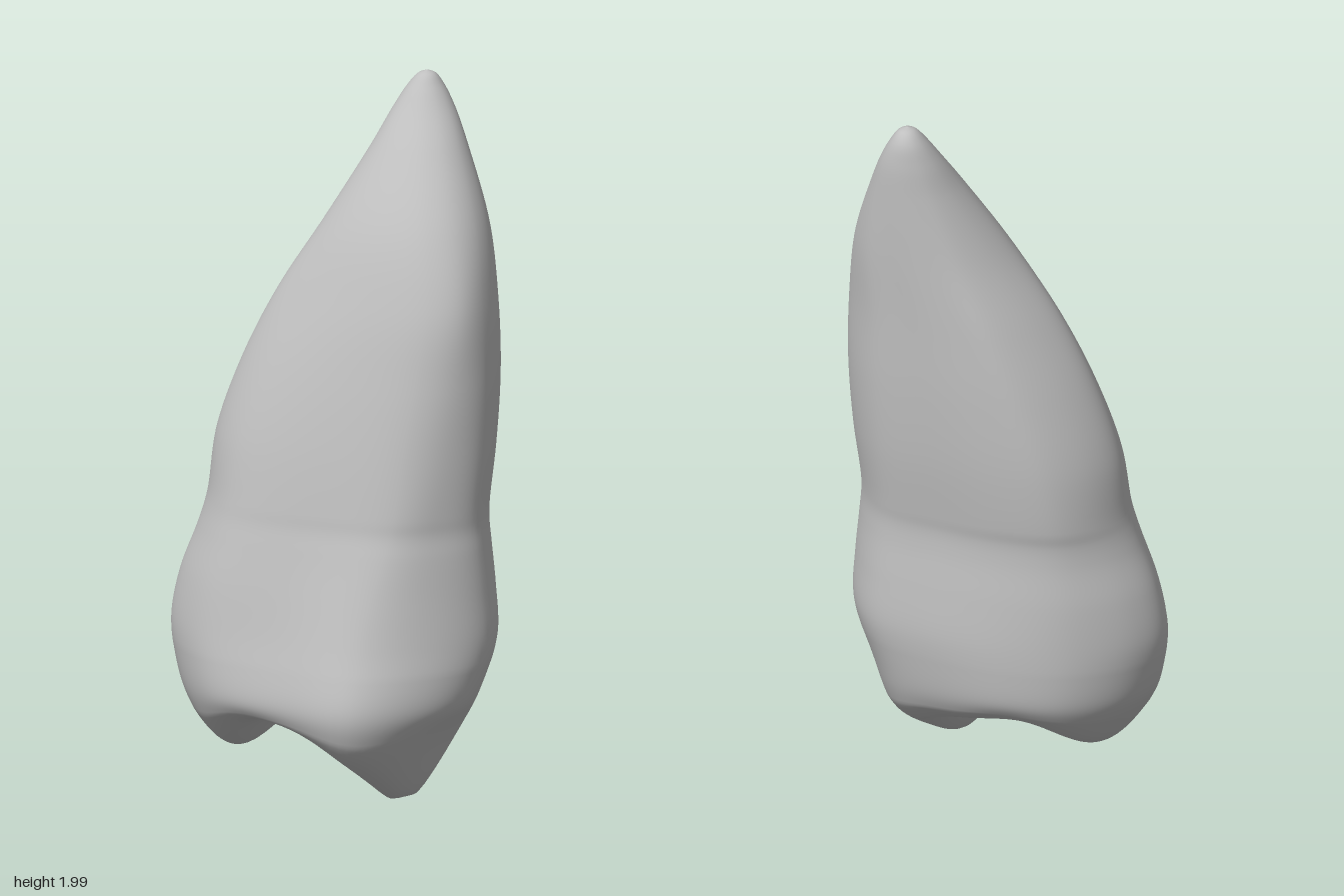
import * as THREE from 'three';

// Outlines as [x, z], running from -x over the back to +x and round the front
const crown = [[-.46, -.13], [-.40, -.26], [-.24, -.365], [-.05, -.388], [.17, -.34], [.36, -.25],
  [.455, -.06], [.445, .175], [.30, .32], [.09, .385], [-.14, .265], [-.365, .105]];
const neck = [[-.365, -.15], [-.32, -.27], [-.21, -.36], [-.05, -.37], [.15, -.325], [.33, -.25],
  [.43, -.06], [.41, .12], [.31, .21], [.18, .25], [-.045, .182], [-.295, .035]];
const root = [[-.17, -.15], [-.13, -.25], [-.02, -.345], [.09, -.355], [.21, -.335], [.35, -.27],
  [.45, -.1], [.42, .05], [.36, .12], [.26, .14], [.08, .085], [-.105, -.045]];
const round = crown.map((_, i) => {
  const a = i / 12 * Math.PI * 2;
  return [-Math.cos(a), -Math.sin(a)];
});

// Extents by height: y, xMin, xMax, zMin, zMax
const levels = [
  [.30, -.44, .405, -.378, .395], [.38, -.458, .437, -.384, .37], [.47, -.465, .457, -.385, .338],
  [.60, -.44, .45, -.378, .30], [.72, -.395, .438, -.367, .268], [.78, -.375, .432, -.367, .252],
  [.83, -.363, .432, -.375, .246], [1.0, -.34, .45, -.386, .22], [1.2, -.27, .46, -.383, .185],
  [1.4, -.17, .452, -.372, .14], [1.6, -.04, .425, -.36, .05], [1.8, .088, .36, -.352, -.10],
  [1.9, .147, .32, -.348, -.19], [1.96, .187, .288, -.338, -.238], [1.99, .215, .265, -.318, -.265],
  [2.0, .24, .24, -.29, -.29]];

const COLS = 96, ROWS = 110, RINGS = 36;

// Smooth closed outline, rescaled to the unit square
function unitOutline(points) {
  const curve = new THREE.CatmullRomCurve3(points.map(([x, z]) => new THREE.Vector3(x, 0, z)), true);
  const pts = Array.from({ length: COLS }, (_, i) => curve.getPoint(i / COLS));
  const box = new THREE.Box3().setFromPoints(pts);
  return pts.map(p => [(p.x - box.min.x) / (box.max.x - box.min.x), (p.z - box.min.z) / (box.max.z - box.min.z)]);
}
const shapes = [[.5, crown], [.82, neck], [1.4, root], [1.95, round]].map(([y, s]) => [y, unitOutline(s)]);

// Point of column i on a level, blending the two nearest outlines
function wallPoint([y, x0, x1, z0, z1], i) {
  let k = 0;
  while (k < shapes.length - 2 && y > shapes[k + 1][0]) k++;
  const t = THREE.MathUtils.clamp((y - shapes[k][0]) / (shapes[k + 1][0] - shapes[k][0]), 0, 1);
  const a = shapes[k][1][i], b = shapes[k + 1][1][i];
  const { lerp } = THREE.MathUtils;
  return new THREE.Vector3(lerp(x0, x1, lerp(a[0], b[0], t)), y, lerp(z0, z1, lerp(a[1], b[1], t)));
}

// Chewing surface: a pointed and a blunt cusp either side of a groove
function biteHeight(x, z) {
  const u = (x + .04) * .909 + z * .417, v = -(x + .04) * .417 + z * .909;
  const groove = (v < 0 ? .1 : .08) * Math.min(1, (v / .28) ** 2) * Math.exp(-((u / .17) ** 2));
  const pointed = Math.exp(-(((u - .264) / (u > .264 ? .15 : .17)) ** 2)
    - (Math.hypot(v, .05) - .05) / (v < 0 ? .5 : .4));
  const blunt = Math.exp(-(((u + .27) / .16) ** 2) - (v / .29) ** 2);
  return THREE.MathUtils.clamp(.295 - groove - .31 * pointed - .21 * blunt, 0, .3);
}

function toothGeometry() {
  const rows = [];
  const columns = Array.from({ length: COLS }, (_, i) =>
    new THREE.CatmullRomCurve3(levels.map(l => wallPoint(l, i))));
  const rim = columns.map(c => c.getPoint(0));

  // Bite rings from the middle out to the rim
  for (let r = 0; r < RINGS; r++) {
    const s = Math.sin(r / RINGS * Math.PI / 2);
    const lift = 1 - Math.sqrt(1 - s ** 4);
    rows.push(rim.map(p => {
      const x = p.x * s, z = p.z * s, h = biteHeight(x, z);
      return new THREE.Vector3(x, h + (p.y - h) * lift, z);
    }));
  }
  // Wall rings from the rim up to the root tip
  for (let r = 0; r <= ROWS; r++) rows.push(columns.map(c => c.getPoint(r / ROWS)));

  // Round off the rim where bite and wall meet
  for (let pass = 0; pass < 24; pass++) {
    for (let r = RINGS - 8; r <= RINGS + 8; r++) {
      rows[r].forEach((p, i) => p.lerp(rows[r - 1][i].clone().lerp(rows[r + 1][i], .5), .5));
    }
  }

  const index = [];
  for (let r = 0; r < rows.length - 1; r++) {
    for (let i = 0; i < COLS; i++) {
      const a = r * COLS + i, b = r * COLS + (i + 1) % COLS;
      index.push(a, a + COLS, b, b, a + COLS, b + COLS);
    }
  }
  const geometry = new THREE.BufferGeometry().setFromPoints(rows.flat());
  geometry.setIndex(index);
  geometry.computeVertexNormals();
  return geometry;
}

export function createModel() {
  const group = new THREE.Group();
  group.name = 'tooth';
  const enamel = new THREE.MeshStandardMaterial({ color: 0xbfbfbf });
  enamel.name = 'light grey';
  const tooth = new THREE.Mesh(toothGeometry(), enamel);
  tooth.name = 'crownAndRoot';
  group.add(tooth);
  return group;
}
